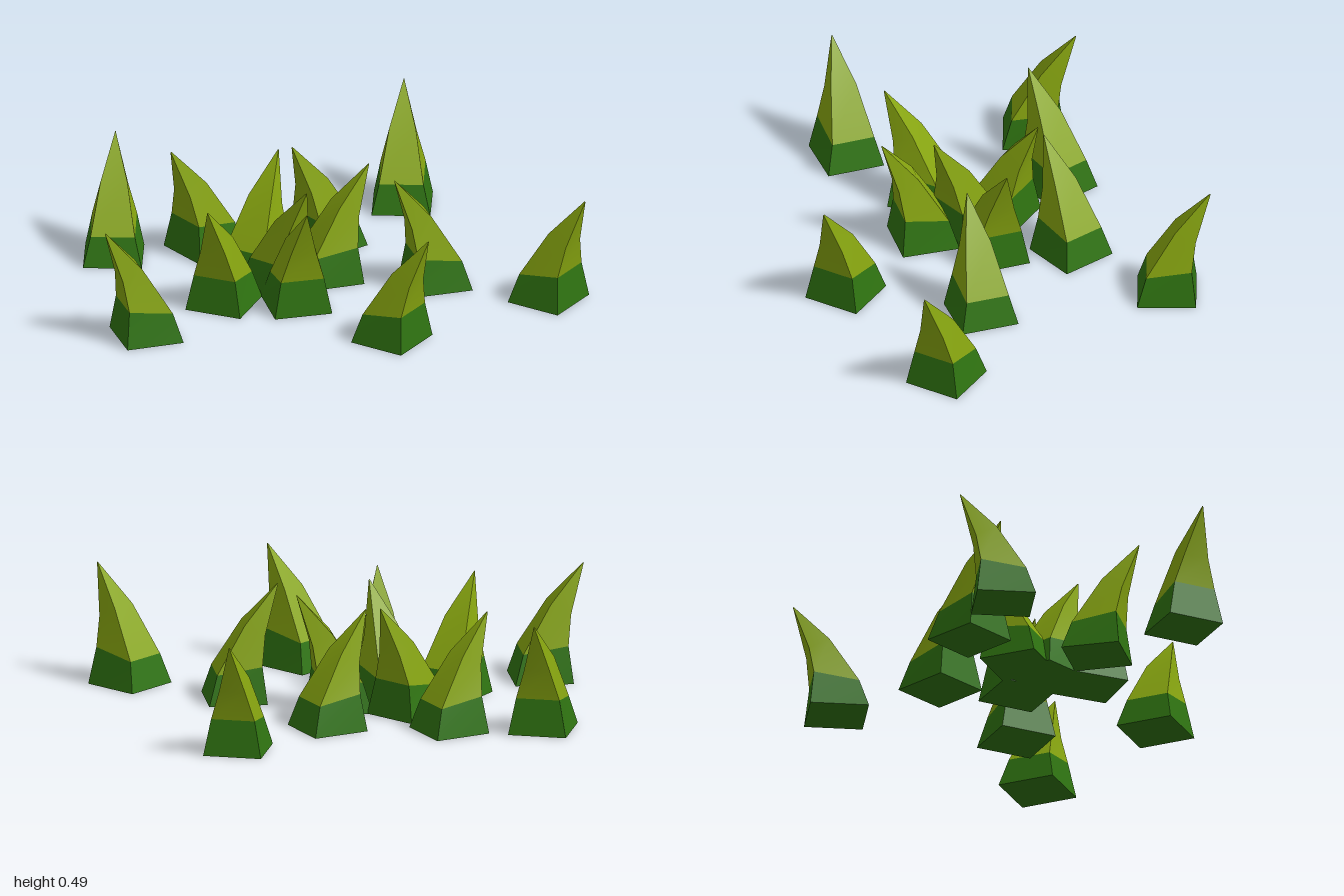
import * as THREE from 'three';

// Cross-sections of one blade, leaning towards local +z:
// half width, front z, back z, front height, back height
const SECTIONS = [
  [0.122, 0.122, -0.122, 0, 0],
  [0.092, 0.104, -0.085, 0.155, 0.125],
  [0.055, 0.120, 0.035, 0.28, 0.325],
  [0.001, 0.181, 0.179, 0.485, 0.488],
];

// Base centre x, z and lean direction x, z of each blade
const BLADES = [
  [-0.34, -0.83, -0.71, -0.71],
  [0.757, -0.645, 0.966, -0.26],
  [0.325, -0.41, -0.43, 0.9],
  [-0.267, -0.338, -0.09, 0.996],
  [-0.024, -0.12, 0.42, -0.91],
  [-0.573, 0.063, -0.08, 0.997],
  [0.61, 0.1, 0.966, -0.26],
  [-0.257, 0.07, -0.27, -0.96],
  [-0.085, 0.09, 0.996, 0.08],
  [0.097, 0.164, 0.88, 0.48],
  [-0.766, 0.4, -0.71, -0.71],
  [-0.103, 0.823, -0.42, 0.91],
  [-0.119, 0.375, 0.43, 0.9],
];

const ring = ([w, f, b, yf, yb]) => [[-w, yf, f], [w, yf, f], [w, yb, b], [-w, yb, b]];

// Four side strips, smooth along their height and creased at the corners
function sides(sections, bottom) {
  const rings = sections.map(ring);
  const pos = [], index = [];
  for (let s = 0; s < 4; s++) {
    const start = pos.length / 3;
    rings.forEach((r) => pos.push(...r[s], ...r[(s + 1) % 4]));
    for (let k = 0; k < rings.length - 1; k++) {
      const a = start + 2 * k;
      index.push(a, a + 1, a + 3, a, a + 3, a + 2);
    }
  }
  if (bottom) {
    const a = pos.length / 3;
    pos.push(...rings[0].flat());
    index.push(a, a + 3, a + 2, a, a + 2, a + 1);
  }
  const geo = new THREE.BufferGeometry();
  geo.setAttribute('position', new THREE.Float32BufferAttribute(pos, 3));
  geo.setIndex(index);
  geo.computeVertexNormals();
  return geo;
}

export function createModel() {
  const darkGreen = new THREE.MeshStandardMaterial({ color: 0x2f7311 });
  darkGreen.name = 'dark green';
  const limeGreen = new THREE.MeshStandardMaterial({ color: 0x87a510 });
  limeGreen.name = 'lime green';

  const baseGeo = sides(SECTIONS.slice(0, 2), true);
  const tipGeo = sides(SECTIONS.slice(1), false);

  const model = new THREE.Group();
  model.name = 'grassPatch';
  BLADES.forEach(([x, z, dx, dz], i) => {
    const blade = new THREE.Group();
    blade.name = `blade${i + 1}`;
    const base = new THREE.Mesh(baseGeo, darkGreen);
    base.name = 'bladeBase';
    const tip = new THREE.Mesh(tipGeo, limeGreen);
    tip.name = 'bladeTip';
    blade.add(base, tip);
    blade.position.set(x, 0, z);
    blade.rotation.y = Math.atan2(dx, dz);
    model.add(blade);
  });
  return model;
}
